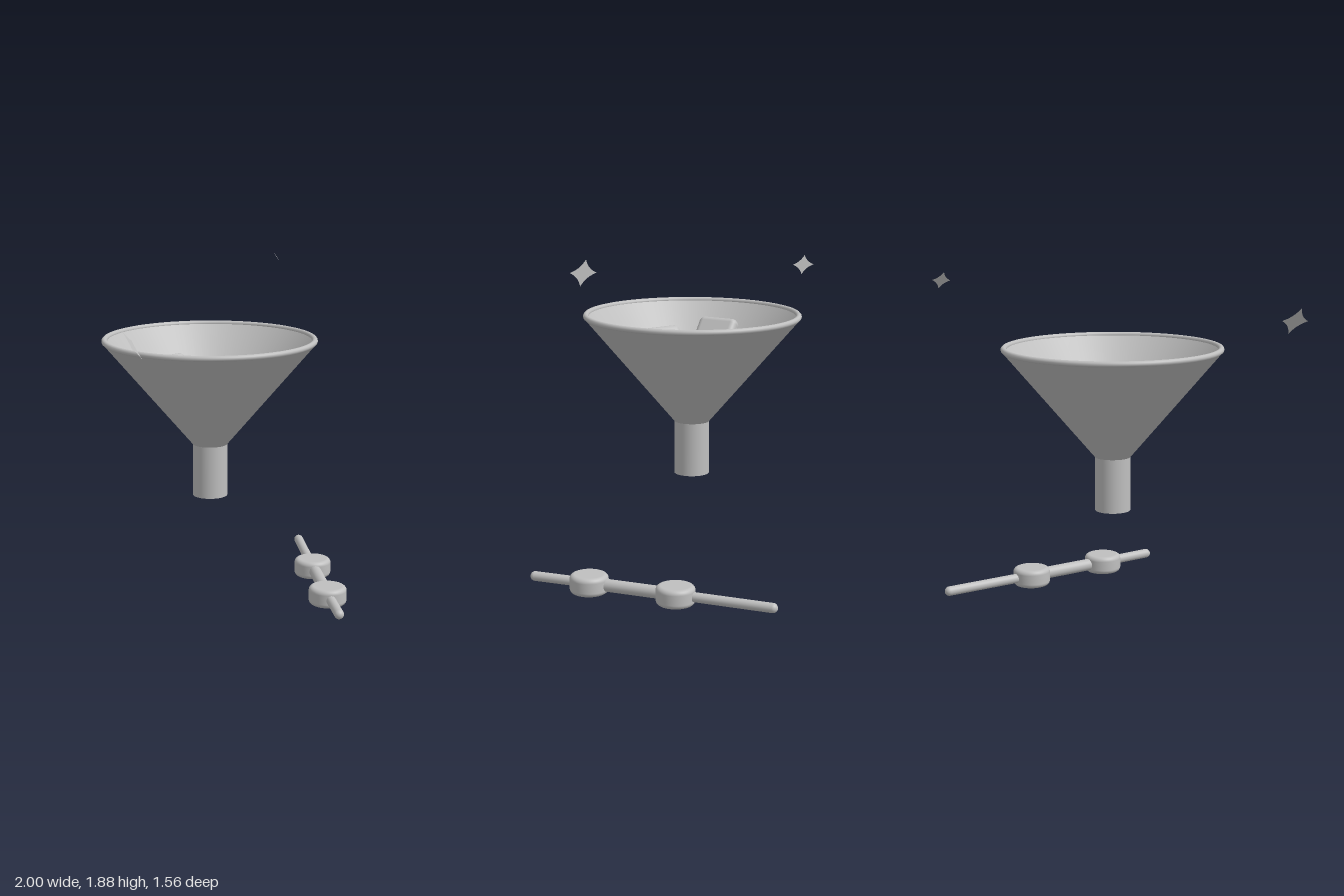
import * as THREE from 'three';
import { RoundedBoxGeometry } from 'three/addons/geometries/RoundedBoxGeometry.js';

export function createModel() {
  const root = new THREE.Group();
  const grey = new THREE.MeshStandardMaterial({ color: 0xbfbfbf });
  grey.name = 'plainGrey';
  const greyThin = new THREE.MeshStandardMaterial({ color: 0xbfbfbf, side: THREE.DoubleSide });
  greyThin.name = 'plainGreyThin';

  function add(name, geometry, parent = root, material = grey) {
    const mesh = new THREE.Mesh(geometry, material);
    mesh.name = name;
    parent.add(mesh);
    return mesh;
  }
  const lathe = (points, sides = 64) =>
    new THREE.LatheGeometry(points.map(([r, y]) => new THREE.Vector2(r, y)), sides);

  // Funnel: outer and inner cone walls, rounded rim, closed neck
  const funnel = new THREE.Group();
  funnel.name = 'funnel';
  funnel.position.set(0.036, 0, -0.175);
  root.add(funnel);
  add('funnelOuterWall', lathe([[0.098, 0.86], [0.6, 1.45]]), funnel);
  add('funnelInnerWall', lathe([[0.582, 1.465], [0.063, 0.865], [0, 0.865]]), funnel);
  const rim = add('funnelRim', new THREE.TorusGeometry(0.59, 0.016, 12, 64), funnel);
  rim.rotation.x = Math.PI / 2;
  rim.position.y = 1.459;
  const neck = add('funnelNeck', new THREE.CylinderGeometry(0.098, 0.098, 0.3, 48), funnel);
  neck.position.y = 0.71;

  // Rounded blocks leaning on the inside of the cone
  const tilt = THREE.MathUtils.degToRad(-40);
  [
    { at: [-0.215, 1.28, -0.43], yaw: Math.atan2(0.6, 0.8) },
    { at: [0.065, 1.225, -0.46], yaw: Math.atan2(-0.1, 0.99) },
    { at: [-0.258, 1.24, -0.15], yaw: Math.atan2(0.98, -0.21) },
  ].forEach(({ at, yaw }, i) => {
    const block = add('block' + (i + 1), new RoundedBoxGeometry(0.24, 0.24, 0.08, 5, 0.033));
    block.position.set(...at);
    block.rotation.set(tilt, yaw, 0, 'YXZ');
  });

  // Rod lying on the ground, with a thicker middle between two discs
  function rod(name, [x1, z1], [x2, z2], radius) {
    const a = new THREE.Vector3(x1, 0.053, z1), b = new THREE.Vector3(x2, 0.053, z2);
    const mesh = add(name, new THREE.CapsuleGeometry(radius, a.distanceTo(b), 8, 24));
    mesh.position.copy(a).add(b).multiplyScalar(0.5);
    mesh.quaternion.setFromUnitVectors(new THREE.Vector3(0, 1, 0), b.sub(a).normalize());
  }
  const discCentres = [[0.225, 0.522], [0.583, 0.165]];
  rod('frontRod', [-0.002, 0.755], discCentres[0], 0.027);
  rod('middleRod', discCentres[0], discCentres[1], 0.035);
  rod('rearRod', discCentres[1], [0.972, -0.217], 0.027);

  // Discs with rounded edges
  const R = 0.107, H = 0.106, bevel = 0.026;
  const profile = [[0, 0]];
  for (let side = 0; side < 2; side++) {
    for (let i = 0; i <= 6; i++) {
      const t = (side - 1 + i / 6) * Math.PI / 2;
      const y = side ? H - bevel : bevel;
      profile.push([R - bevel + bevel * Math.cos(t), y + bevel * Math.sin(t)]);
    }
  }
  profile.push([0, H]);
  discCentres.forEach(([x, z], i) => {
    add(i ? 'rearDisc' : 'frontDisc', lathe(profile, 48)).position.set(x, 0, z);
  });

  // Floating four-pointed sparkles with hollow sides
  const star = new THREE.Shape();
  star.moveTo(1, 0);
  for (let i = 1; i <= 4; i++) {
    const a = i * Math.PI / 2, m = a - Math.PI / 4;
    star.quadraticCurveTo(0.4 * Math.cos(m), 0.4 * Math.sin(m), Math.cos(a), Math.sin(a));
  }
  const normal = new THREE.Vector3(0.53, 0.56, 0.64).normalize();
  const up = new THREE.Vector3(-0.037, 0.073, -0.033).projectOnPlane(normal).normalize();
  const across = new THREE.Vector3().crossVectors(up, normal);
  const facing = new THREE.Matrix4().makeBasis(across, up, normal);
  [
    { name: 'largeSparkle', at: [-0.93, 1.594, 0.11], size: 0.092 },
    { name: 'smallSparkle', at: [0.929, 1.833, -0.377], size: 0.055 },
  ].forEach(({ name, at, size }) => {
    const sparkle = add(name, new THREE.ShapeGeometry(star, 8), root, greyThin);
    sparkle.position.set(...at);
    sparkle.scale.setScalar(size);
    sparkle.quaternion.setFromRotationMatrix(facing);
  });

  return root;
}
